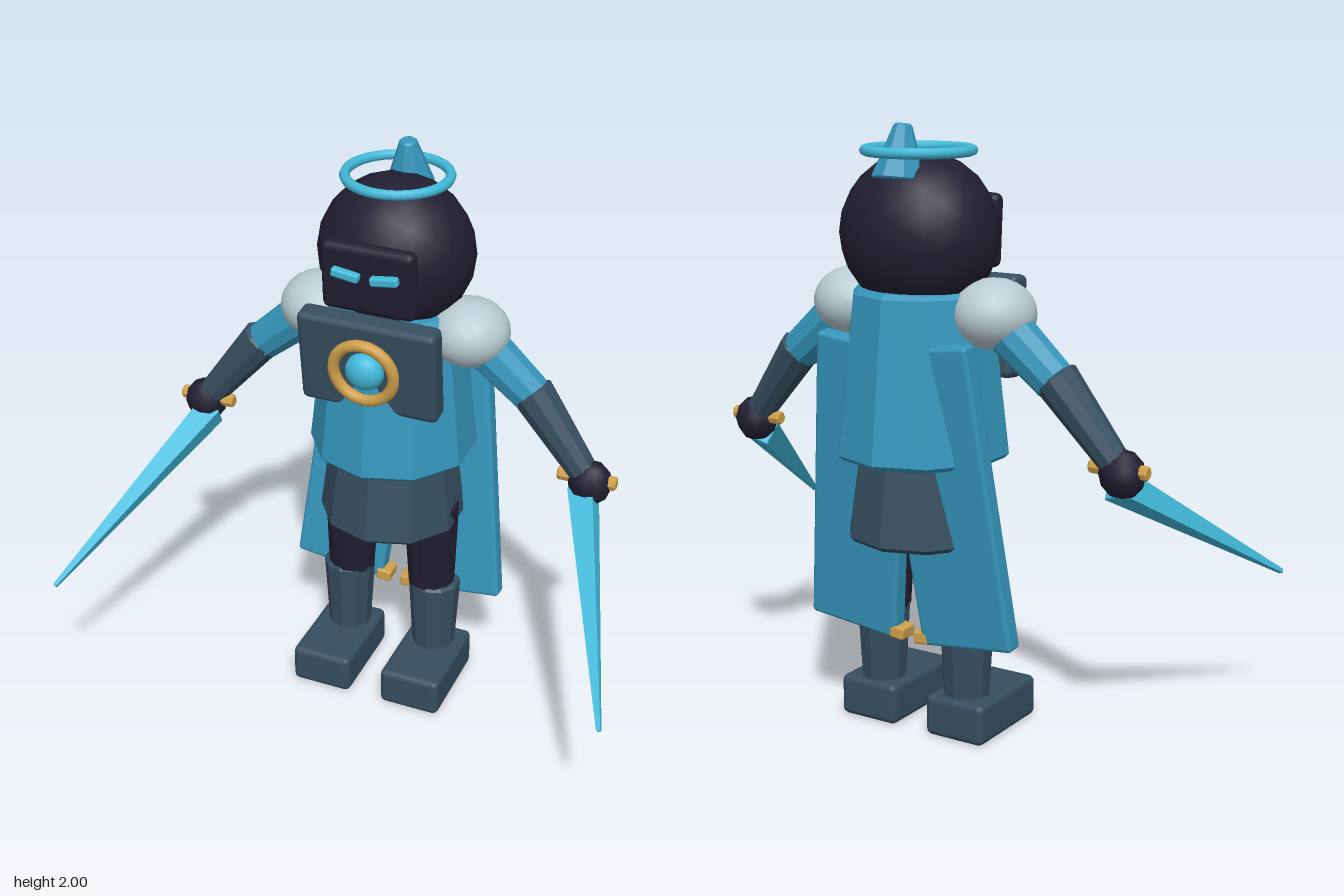
import * as THREE from 'three';
import { RoundedBoxGeometry } from 'three/addons/geometries/RoundedBoxGeometry.js';

const V = (x, y, z) => new THREE.Vector3(x, y, z);

export function createModel() {
  const model = new THREE.Group();
  model.name = 'cloakedWarrior';

  const material = (name, color) => {
    const m = new THREE.MeshStandardMaterial({ color });
    m.name = name;
    return m;
  };
  const navy = material('darkNavy', 0x211e31);
  const slate = material('slateArmour', 0x364e60);
  const cloth = material('blueCloth', 0x3596bc);
  const cyan = material('brightCyan', 0x42badb);
  const gold = material('gold', 0xd0a04a);
  const pale = material('paleMetal', 0xb9ccd3);

  const add = (name, geometry, mat, pos, parent = model) => {
    const mesh = new THREE.Mesh(geometry, mat);
    mesh.name = name;
    mesh.position.copy(pos);
    parent.add(mesh);
    return mesh;
  };
  const box = (name, mat, w, h, d, r, pos, parent) =>
    add(name, new RoundedBoxGeometry(w, h, d, 2, r), mat, pos, parent);

  // Faceted tapered limb with bevelled rims, running from point a to point b
  const limb = (name, mat, a, b, ra, rb, sides, bevel, parent) => {
    const dir = b.clone().sub(a), h = dir.length();
    const profile = [[0, 0], [ra - bevel, 0], [ra, bevel], [rb, h - bevel], [rb - bevel, h], [0, h]]
      .map(([x, y]) => new THREE.Vector2(x, y));
    const geometry = new THREE.LatheGeometry(profile, sides).toNonIndexed();
    geometry.computeVertexNormals();
    const mesh = add(name, geometry, mat, a, parent);
    mesh.quaternion.setFromUnitVectors(V(0, 1, 0), dir.normalize());
    return mesh;
  };
  const ball = (name, mat, rx, ry, rz, pos, parent) => {
    const mesh = add(name, new THREE.IcosahedronGeometry(1, 3), mat, pos, parent);
    mesh.scale.set(rx, ry, rz);
    return mesh;
  };

  // Head, crest and halo
  ball('head', navy, 0.265, 0.258, 0.23, V(0, 1.657, -0.222));
  limb('crest', cloth, V(0, 1.83, -0.338), V(0, 2, -0.31), 0.085, 0.03, 8, 0.006);
  const halo = add('halo', new THREE.TorusGeometry(0.169, 0.017, 8, 40), cyan, V(0, 1.915, -0.225));
  halo.rotation.x = Math.PI / 2;

  // Face plate with slanted eyes
  const face = new THREE.Group();
  face.name = 'face';
  face.position.set(0, 1.65, 0.005);
  face.rotation.x = 0.06;
  model.add(face);
  box('visor', navy, 0.32, 0.24, 0.055, 0.025, V(0, 0, 0), face);
  for (const s of [-1, 1]) {
    const eye = box('eye', cyan, 0.095, 0.03, 0.05, 0.008, V(s * 0.066, 0.023, 0.026), face);
    eye.rotation.z = s * 0.14;
  }

  // Torso: neck, coat and under-skirt
  limb('neck', navy, V(0, 1.4, -0.21), V(0, 1.55, -0.21), 0.13, 0.13, 10, 0.01);
  limb('coat', cloth, V(0, 0.94, -0.21), V(0, 1.485, -0.21), 0.287, 0.228, 10, 0.015);
  limb('skirt', slate, V(0, 0.665, -0.207), V(0, 1.0, -0.207), 0.253, 0.212, 10, 0.015);

  // Chest plate with ring and gem
  const chest = new THREE.Group();
  chest.name = 'chest';
  chest.position.set(0, 1.346, -0.006);
  chest.rotation.x = 0.12;
  model.add(chest);
  box('chestPlate', slate, 0.48, 0.335, 0.085, 0.022, V(0, 0, 0), chest);
  add('chestRing', new THREE.TorusGeometry(0.105, 0.02, 8, 32), gold, V(0, 0, 0.062), chest);
  ball('chestGem', cyan, 0.066, 0.066, 0.05, V(0, 0, 0.05), chest);

  for (const s of [-1, 1]) {
    // Arm
    const arm = new THREE.Group();
    arm.name = s > 0 ? 'leftArm' : 'rightArm';
    model.add(arm);
    ball('shoulder', pale, 0.135, 0.113, 0.138, V(s * 0.265, 1.42, -0.205), arm);
    limb('upperArm', cloth, V(s * 0.29, 1.4, -0.21), V(s * 0.492, 1.227, -0.21), 0.08, 0.068, 10, 0.008, arm);
    limb('forearm', slate, V(s * 0.485, 1.245, -0.208), V(s * 0.69, 0.99, -0.185), 0.072, 0.05, 10, 0.008, arm);
    const hand = add('hand', new THREE.IcosahedronGeometry(1, 1), navy, V(s * 0.71, 0.962, -0.182), arm);
    hand.scale.set(0.076, 0.08, 0.066);

    // Blade held forward and outward
    limb('bladeGuard', gold, V(s * 0.6, 0.975, -0.183), V(s * 0.8, 0.975, -0.183), 0.024, 0.024, 8, 0.005, arm);
    limb('blade', cyan, V(s * 0.69, 0.925, -0.18), V(s * 0.973, 0.513, 0.49), 0.06, 0.01, 4, 0.004, arm);

    // Leg
    const leg = new THREE.Group();
    leg.name = s > 0 ? 'leftLeg' : 'rightLeg';
    model.add(leg);
    limb('thigh', navy, V(s * 0.155, 0.39, -0.2), V(s * 0.148, 0.74, -0.2), 0.082, 0.098, 12, 0.01, leg);
    limb('shin', slate, V(s * 0.165, 0.12, -0.203), V(s * 0.165, 0.415, -0.203), 0.076, 0.092, 10, 0.01, leg);
    box('boot', slate, 0.22, 0.14, 0.355, 0.022, V(s * 0.17, 0.075, -0.12), leg);

    // Cape panel with gold tip at its inner lower corner
    const panel = box('capePanel', cloth, 0.34, 1.0, 0.065, 0.014, V(s * 0.167, 0.832, -0.32));
    panel.rotation.set(-0.1, 0, s * 0.113);
    const tip = box('capeTip', gold, 0.055, 0.042, 0.075, 0.008, V(s * 0.047, 0.34, -0.268));
    tip.rotation.z = s * 0.1;
  }
  return model;
}
